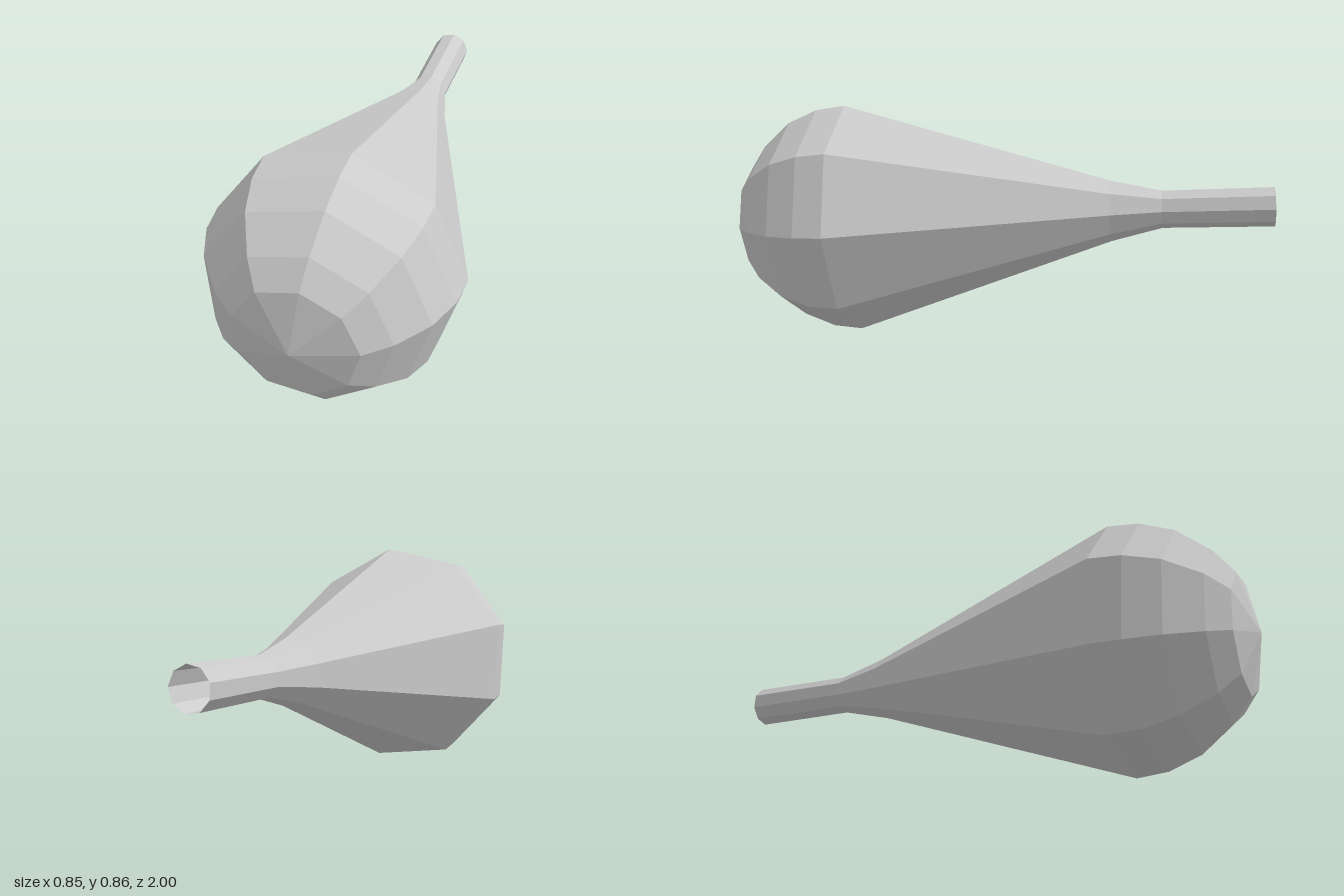
import * as THREE from 'three';

export function createModel() {
  const group = new THREE.Group();
  const material = new THREE.MeshStandardMaterial({
    color: 0xcccccc, flatShading: true, side: THREE.DoubleSide,
  });

  // Axis runs from the open neck at the back to the rounded tip at the front
  const tip = new THREE.Vector3(0.03, 0.41, 1);
  const axis = new THREE.Vector3(0.1025, -0.06, 1);
  const stretch = axis.length();
  axis.normalize();

  // Profile as [radius, distance along the axis from the tip]
  const profile = [
    [0.0725, -1.995], [0.07, -1.6], [0.115, -1.415], // neck
    [0.437, -0.45], [0.425, -0.34], [0.38, -0.225], [0.292, -0.115], [0.208, -0.05], [0, 0], // bulb
  ].map(([r, t]) => new THREE.Vector2(r, t * stretch));

  // Nine-sided hollow bulb, turned to lie along z and then tilted
  const geometry = new THREE.LatheGeometry(profile, 9, THREE.MathUtils.degToRad(91));
  geometry.rotateX(Math.PI / 2);
  const bulb = new THREE.Mesh(geometry, material);
  bulb.name = 'bulbWithNeck';
  bulb.quaternion.setFromUnitVectors(new THREE.Vector3(0, 0, 1), axis);
  bulb.position.copy(tip);
  group.add(bulb);

  return group;
}
